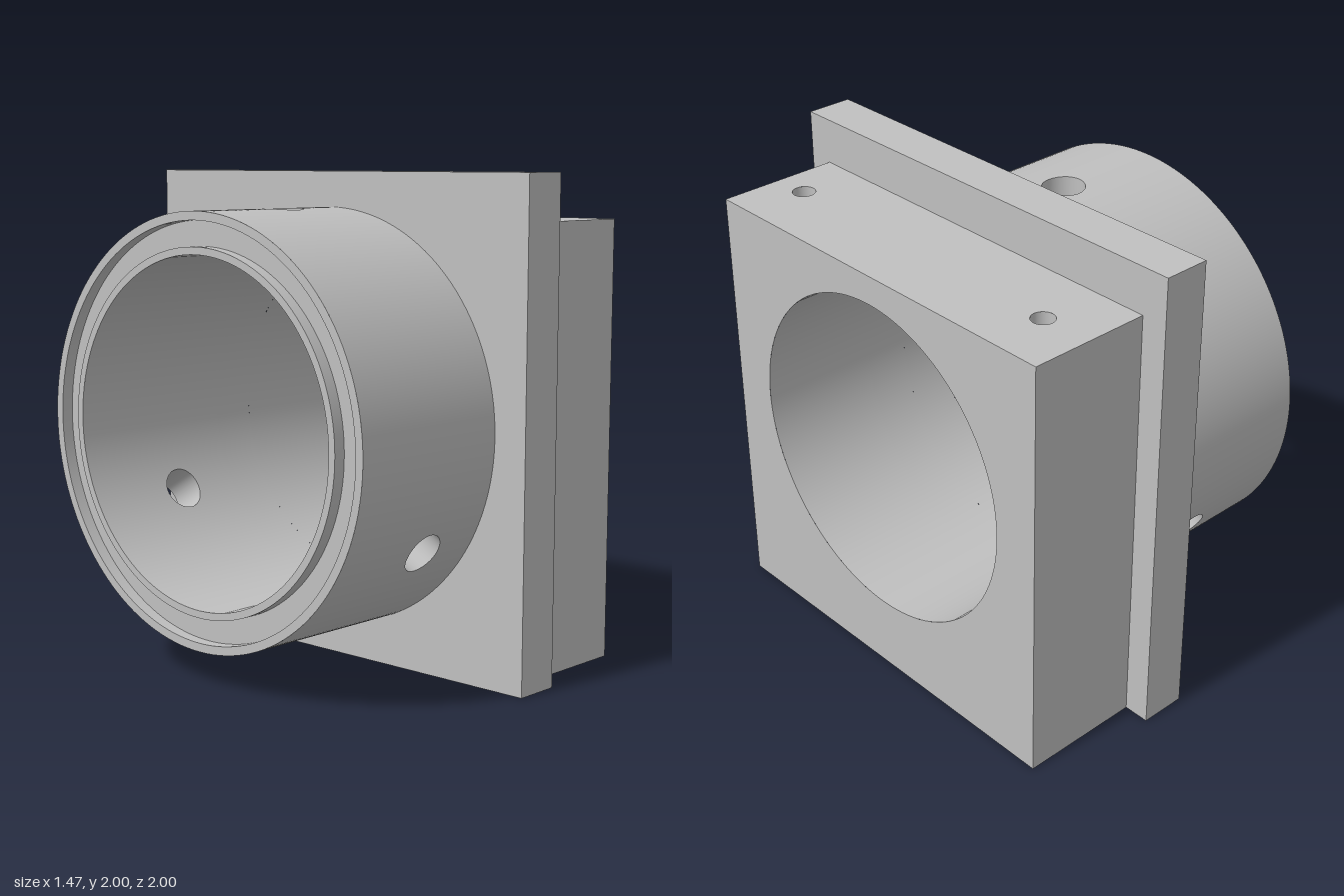
import * as THREE from 'three';
import { toCreasedNormals } from 'three/addons/utils/BufferGeometryUtils.js';

const OUTER = 0.855, BORE = 0.69, CY = 1;      // collar radii and axis height
const X0 = -0.735, X1 = 0.015, X2 = 0.21, X3 = 0.73; // collar, flange, block limits
const HOLE_X = -0.27, HOLE_R = 0.087, PATCH = 0.2;   // radial screw holes

// Smooth surface from a rule fn(u, v) -> { p, n }; winding follows the normals.
function surface(nu, nv, fn) {
  const pos = [], nor = [], idx = [];
  for (let j = 0; j <= nv; j++) for (let i = 0; i <= nu; i++) {
    const { p, n } = fn(i / nu, j / nv);
    pos.push(p.x, p.y, p.z);
    nor.push(n.x, n.y, n.z);
  }
  const at = (a, k) => new THREE.Vector3().fromArray(a, k * 3);
  const tri = (a, b, c) => {
    const face = at(pos, b).sub(at(pos, a)).cross(at(pos, c).sub(at(pos, a)));
    if (face.dot(at(nor, a)) > 0) idx.push(a, b, c); else idx.push(a, c, b);
  };
  for (let j = 0; j < nv; j++) for (let i = 0; i < nu; i++) {
    const a = j * (nu + 1) + i, b = a + 1, c = a + nu + 1, d = c + 1;
    tri(a, b, d);
    tri(a, d, c);
  }
  const g = new THREE.BufferGeometry();
  g.setAttribute('position', new THREE.Float32BufferAttribute(pos, 3));
  g.setAttribute('normal', new THREE.Float32BufferAttribute(nor, 3));
  g.setIndex(idx);
  return g;
}

const radial = (a) => new THREE.Vector3(0, Math.cos(a), Math.sin(a));
const onTube = (R, a, x) => radial(a).multiplyScalar(R).add(new THREE.Vector3(x, CY, 0));

function rectShape(x0, y0, x1, y1) {
  const s = new THREE.Shape();
  s.moveTo(x0, y0);
  s.lineTo(x1, y0);
  s.lineTo(x1, y1);
  s.lineTo(x0, y1);
  s.closePath();
  return s;
}

function punch(shape, x, y, r) {
  const h = new THREE.Path();
  h.absarc(x, y, r, 0, Math.PI * 2, true);
  shape.holes.push(h);
  return shape;
}

export function createModel() {
  const model = new THREE.Group();
  const metal = new THREE.MeshStandardMaterial({ color: 0xc0c0c0 });
  metal.name = 'light grey metal';
  const add = (parent, name, geo) => {
    const m = new THREE.Mesh(geo, metal);
    m.name = name;
    parent.add(m);
    return m;
  };

  // Collar: three sectors, each with one radial screw hole
  const collar = new THREE.Group();
  collar.name = 'collar';
  model.add(collar);
  const sector = Math.PI * 2 / 3;
  for (let k = 0; k < 3; k++) {
    const mid = k * sector;
    for (const [R, sign, label] of [[OUTER, 1, 'collarOutside'], [BORE, -1, 'collarInside']]) {
      // plain wall between two holes
      add(collar, label, surface(48, 1, (u, v) => {
        const a = mid + PATCH + u * (sector - 2 * PATCH);
        return { p: onTube(R, a, X0 + v * (X1 - X0)), n: radial(a).multiplyScalar(sign) };
      }));
      // strip of wall surrounding the hole, blending circle to rectangle
      add(collar, label + 'AroundHole', surface(64, 6, (u, v) => {
        const f = u * Math.PI * 2, c = Math.cos(f), s = Math.sin(f);
        const q = Math.max(Math.abs(c), Math.abs(s));
        const edgeX = (s > 0 ? X1 - HOLE_X : HOLE_X - X0) * s / q;
        const da = THREE.MathUtils.lerp(Math.asin(HOLE_R * c / R), PATCH * c / q, v);
        const x = HOLE_X + THREE.MathUtils.lerp(HOLE_R * s, edgeX, v);
        return { p: onTube(R, mid + da, x), n: radial(mid + da).multiplyScalar(sign) };
      }));
    }
    // bore of the screw hole
    add(collar, 'screwHoleWall', surface(64, 1, (u, v) => {
      const f = u * Math.PI * 2, c = Math.cos(f), s = Math.sin(f);
      const R = v ? OUTER : BORE;
      const n = radial(mid + Math.PI / 2).multiplyScalar(-c);
      n.x = -s;
      return { p: onTube(R, mid + Math.asin(HOLE_R * c / R), HOLE_X + HOLE_R * s), n };
    }));
  }

  // Collar end face with its ring groove
  const profile = [[BORE, 0], [0.72, 0], [0.72, 0.05], [0.82, 0.05], [0.82, 0], [OUTER, 0]]
    .map(([r, y]) => new THREE.Vector2(r, y));
  const end = toCreasedNormals(new THREE.LatheGeometry(profile, 144), 0.5);
  end.rotateZ(-Math.PI / 2).translate(X0, CY, 0);
  add(collar, 'groovedEndFace', end);

  // Square flange
  const flange = new THREE.ExtrudeGeometry(punch(rectShape(-1, 0, 1, 2), 0, CY, BORE),
    { depth: X2 - X1, bevelEnabled: false, curveSegments: 144 });
  flange.rotateY(Math.PI / 2).translate(X1, 0, 0);
  add(model, 'flange', toCreasedNormals(flange, 0.5));

  // Mounting block
  const W = 0.89, H = 1.81, D = X3 - X2, XM = (X2 + X3) / 2;
  const block = new THREE.Group();
  block.name = 'mountingBlock';
  model.add(block);
  const face = new THREE.ShapeGeometry(punch(rectShape(-W, 0, W, H), 0, CY, BORE), 144);
  add(block, 'blockFace', face.rotateY(Math.PI / 2).translate(X3, 0, 0));
  for (const s of [1, -1]) {
    const side = new THREE.PlaneGeometry(D, H);
    if (s < 0) side.rotateY(Math.PI);
    add(block, s > 0 ? 'blockFrontSide' : 'blockBackSide', side.translate(XM, H / 2, s * W));
  }
  add(block, 'blockUnderside',
    new THREE.PlaneGeometry(D, 2 * W).rotateX(Math.PI / 2).translate(XM, 0, 0));
  add(block, 'blockBore', surface(144, 1, (u, v) => {
    const a = u * Math.PI * 2;
    return { p: onTube(BORE, a, X2 + v * D), n: radial(a).negate() };
  }));

  // Block top with two blind pin holes
  const top = rectShape(X2, -W, X3, W), pinR = 0.047, pinDepth = 0.35;
  for (const [x, z] of [[0.48, -0.665], [0.46, 0.735]]) {
    punch(top, x, -z, pinR);
    add(block, 'pinHoleWall', surface(48, 1, (u, v) => {
      const a = u * Math.PI * 2, c = Math.cos(a), s = Math.sin(a);
      return {
        p: new THREE.Vector3(x + pinR * c, H - v * pinDepth, z + pinR * s),
        n: new THREE.Vector3(-c, 0, -s),
      };
    }));
    add(block, 'pinHoleFloor',
      new THREE.CircleGeometry(pinR, 48).rotateX(-Math.PI / 2).translate(x, H - pinDepth, z));
  }
  add(block, 'blockTop', new THREE.ShapeGeometry(top, 48).rotateX(-Math.PI / 2).translate(0, H, 0));

  return model;
}
